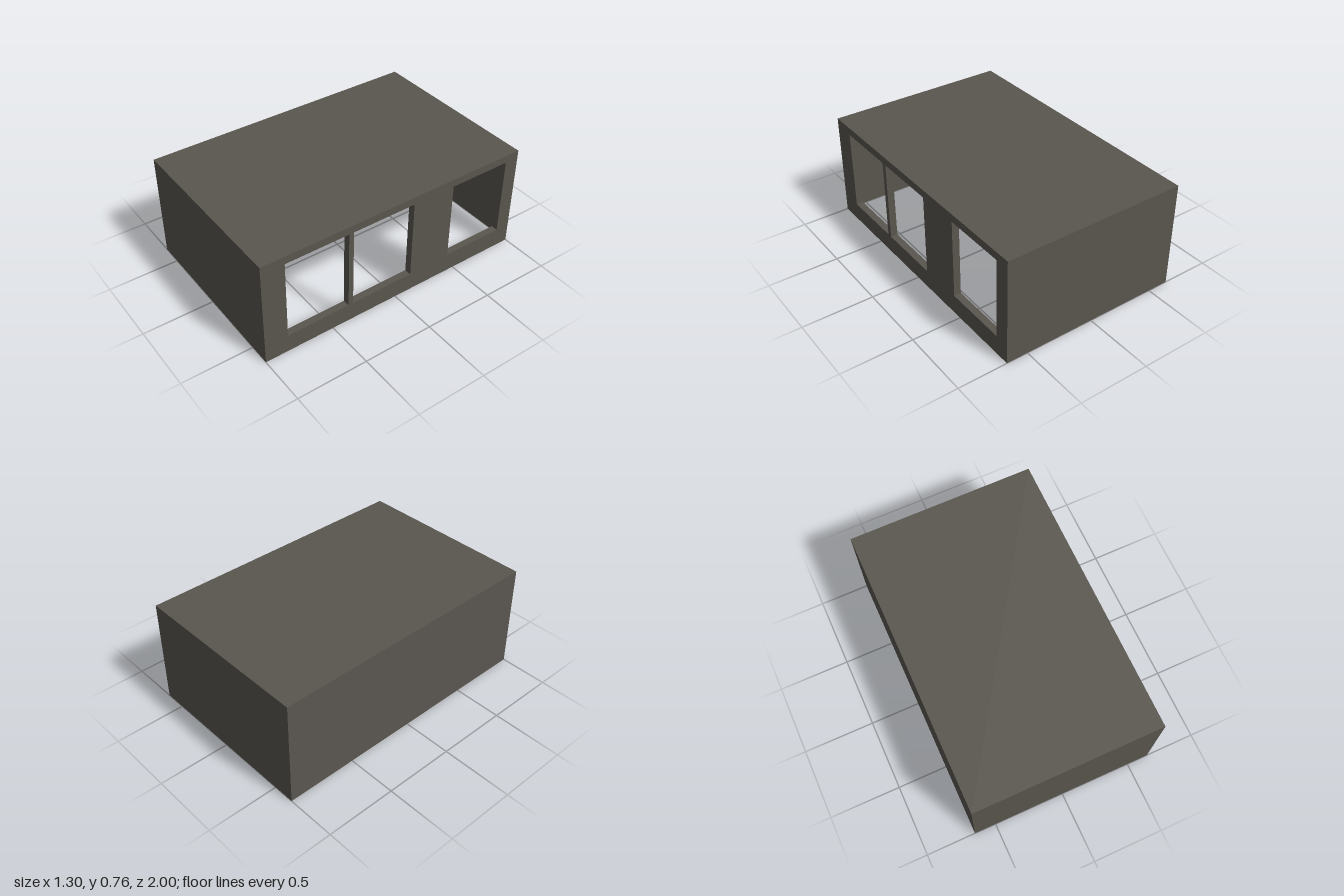
import * as THREE from 'three';

const HALF_W = 0.652, HEIGHT = 0.76, HALF_L = 1, DEPTH = 0.05;

// Openings in the right-hand wall: z range and y range
const openings = [
  { z0: 0.38, z1: 0.835, y0: 0.13, y1: 0.705 },
  { z0: -0.12, z1: 0.345, y0: 0.13, y1: 0.705 },
  { z0: -0.895, z1: -0.44, y0: 0.138, y1: 0.705 },
];

export function createModel() {
  const group = new THREE.Group();
  const concrete = new THREE.MeshStandardMaterial({ color: 0x5a564f, side: THREE.DoubleSide });
  concrete.name = 'warm grey';

  const add = (name, geometry, position, rotation = [0, 0, 0]) => {
    const mesh = new THREE.Mesh(geometry, concrete);
    mesh.name = name;
    mesh.position.set(...position);
    mesh.rotation.set(...rotation);
    group.add(mesh);
  };
  const sheet = (name, w, h, position, rotation) =>
    add(name, new THREE.PlaneGeometry(w, h), position, rotation);

  // Plain shell, open underneath
  const q = Math.PI / 2;
  sheet('frontWall', 2 * HALF_W, HEIGHT, [0, HEIGHT / 2, HALF_L]);
  sheet('backWall', 2 * HALF_W, HEIGHT, [0, HEIGHT / 2, -HALF_L], [0, Math.PI, 0]);
  sheet('blankWall', 2 * HALF_L, HEIGHT, [-HALF_W, HEIGHT / 2, 0], [0, -q, 0]);
  sheet('roof', 2 * HALF_W, 2 * HALF_L, [0, HEIGHT, 0], [-q, 0, 0]);

  // Pierced wall: outer and inner skins
  const piercedSkin = (bottom) => {
    const shape = new THREE.Shape([
      [-HALF_L, bottom], [HALF_L, bottom], [HALF_L, HEIGHT], [-HALF_L, HEIGHT],
    ].map(p => new THREE.Vector2(...p)));
    for (const { z0, z1, y0, y1 } of openings) {
      shape.holes.push(new THREE.Path([
        [-z1, y0], [-z1, y1], [-z0, y1], [-z0, y0],
      ].map(p => new THREE.Vector2(...p))));
    }
    return new THREE.ShapeGeometry(shape);
  };
  add('windowWallOuter', piercedSkin(0), [HALF_W, 0, 0], [0, q, 0]);
  add('windowWallInner', piercedSkin(DEPTH), [HALF_W - DEPTH, 0, 0], [0, q, 0]);

  // Reveals lining each opening
  const x = HALF_W - DEPTH / 2;
  for (const { z0, z1, y0, y1 } of openings) {
    const zc = (z0 + z1) / 2, yc = (y0 + y1) / 2;
    sheet('windowSill', DEPTH, z1 - z0, [x, y0, zc], [-q, 0, 0]);
    sheet('windowHead', DEPTH, z1 - z0, [x, y1, zc], [q, 0, 0]);
    sheet('windowJamb', DEPTH, y1 - y0, [x, yc, z0]);
    sheet('windowJamb', DEPTH, y1 - y0, [x, yc, z1], [0, Math.PI, 0]);
  }
  return group;
}
